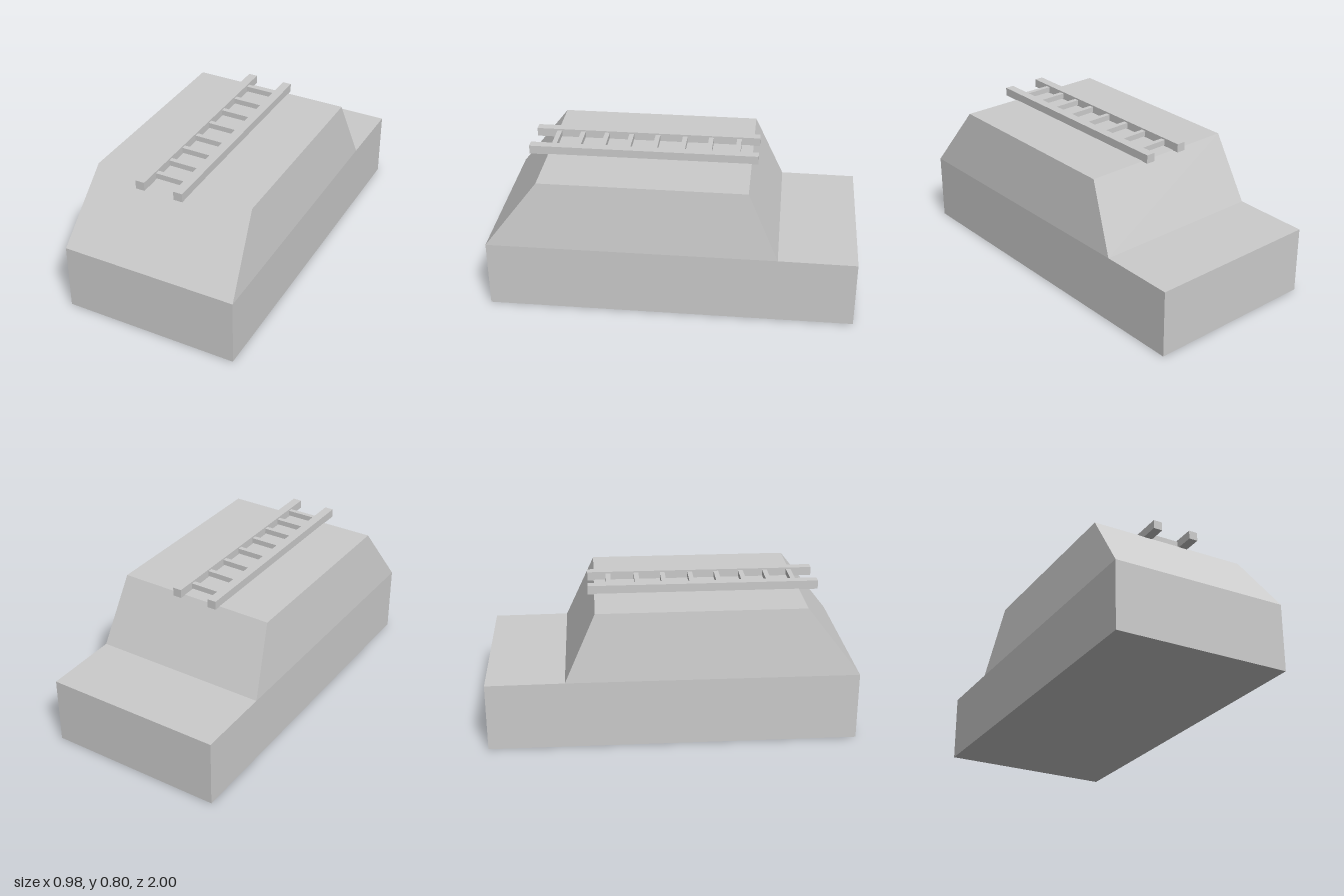
import * as THREE from 'three';

const material = new THREE.MeshStandardMaterial({ color: 0xcccccc, flatShading: true });

function addBox(parent, name, size, position) {
  const mesh = new THREE.Mesh(new THREE.BoxGeometry(...size), material);
  mesh.name = name;
  mesh.position.set(...position);
  parent.add(mesh);
}

// Hull swept across x from a side profile of [z, y, half width]
function hullGeometry() {
  const profile = [
    [1, 0, 0.49], [1, 0.376, 0.49], [0.71, 0.75, 0.447], [-0.41, 0.75, 0.447],
    [-0.577, 0.378, 0.49], [-1, 0.375, 0.49], [-1, 0, 0.49],
  ];
  const n = profile.length;
  const positions = [];
  const point = (i, side) => {
    const [z, y, w] = profile[i % n];
    return [side * w, y, z];
  };
  const triangle = (a, b, c) => positions.push(...a, ...b, ...c);

  // Front, slopes, roof, rear deck, back and underside
  for (let i = 0; i < n; i++) {
    const a = point(i, -1), b = point(i, 1), c = point(i + 1, 1), d = point(i + 1, -1);
    triangle(a, b, c);
    triangle(a, c, d);
  }
  // Upright lower sides and inward-leaning upper sides
  for (const outline of [[0, 1, 4, 5, 6], [1, 2, 3, 4]]) {
    for (let k = 1; k < outline.length - 1; k++) {
      const [a, b, c] = [outline[0], outline[k], outline[k + 1]];
      triangle(point(a, -1), point(b, -1), point(c, -1));
      triangle(point(a, 1), point(c, 1), point(b, 1));
    }
  }
  const geometry = new THREE.BufferGeometry();
  geometry.setAttribute('position', new THREE.Float32BufferAttribute(positions, 3));
  geometry.computeVertexNormals();
  return geometry;
}

export function createModel() {
  const model = new THREE.Group();
  model.name = 'vehicleBody';

  const hull = new THREE.Mesh(hullGeometry(), material);
  hull.name = 'hull';
  model.add(hull);

  // Roof ladder, slightly off centre
  const ladder = new THREE.Group();
  ladder.name = 'roofLadder';
  ladder.position.set(-0.021, 0.771, 0.185);
  model.add(ladder);
  for (const side of [-1, 1]) {
    addBox(ladder, side > 0 ? 'leftRail' : 'rightRail', [0.05, 0.048, 1.26], [side * 0.109, 0, 0]);
  }
  const rungs = [-0.33, -0.173, -0.026, 0.128, 0.276, 0.415, 0.552, 0.687];
  for (const z of rungs) {
    addBox(ladder, 'rung', [0.17, 0.03, 0.027], [0, 0, z - 0.185]);
  }
  return model;
}
